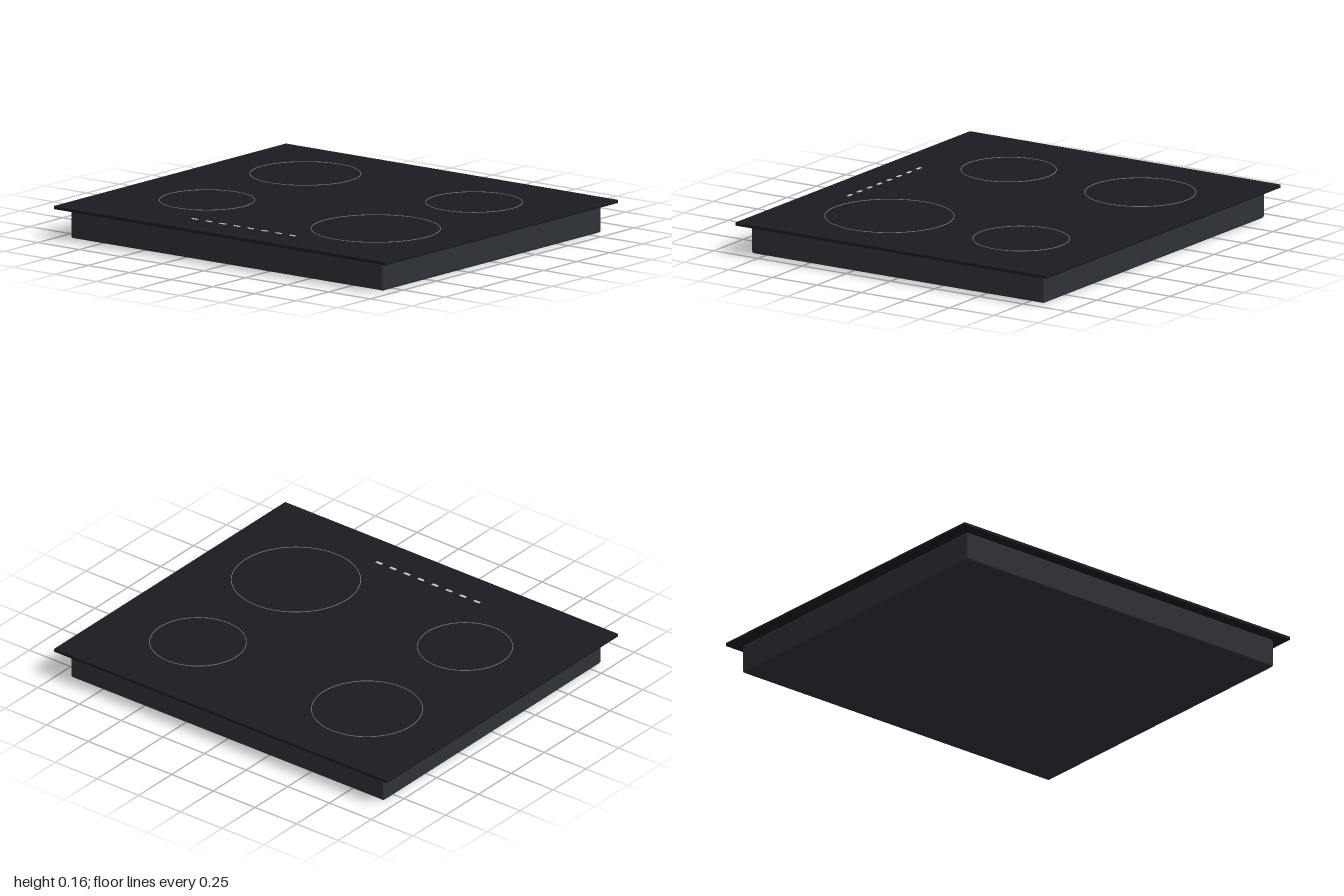
import * as THREE from 'three';
import { RoundedBoxGeometry } from 'three/addons/geometries/RoundedBoxGeometry.js';

export function createModel() {
  const model = new THREE.Group();
  model.name = 'cooktop';
  const add = (name, geometry, color, x, y, z) => {
    const mesh = new THREE.Mesh(geometry, new THREE.MeshStandardMaterial({ color }));
    mesh.name = name;
    mesh.position.set(x, y, z);
    model.add(mesh);
    return mesh;
  };

  // Housing that sits below the worktop
  add('housing', new RoundedBoxGeometry(1.88, 0.142, 1.655, 2, 0.01), 0x2e3136, 0, 0.071, 0);

  // Overhanging glass plate
  const top = 0.157;
  add('glassPlate', new RoundedBoxGeometry(2, 0.017, 1.76, 2, 0.004), 0x1b1c21, 0, top - 0.0085, 0);

  // Thin rings marking the cooking zones: x, z, radius
  const zones = [
    [-0.51, -0.41, 0.264],
    [0.505, -0.41, 0.23],
    [-0.51, 0.335, 0.227],
    [0.505, 0.335, 0.307],
  ];
  for (const [x, z, radius] of zones) {
    const ring = new THREE.TorusGeometry(radius - 0.002, 0.002, 6, 96).rotateX(Math.PI / 2);
    add('zoneRing', ring, 0x77787c, x, top + 0.001, z);
  }

  // Row of touch-control dashes along the front edge
  for (let i = 0; i < 8; i++) {
    add('controlMark', new THREE.BoxGeometry(0.034, 0.003, 0.013), 0xcccccc, (i - 3.5) * 0.084, top + 0.001, 0.7);
  }

  return model;
}
